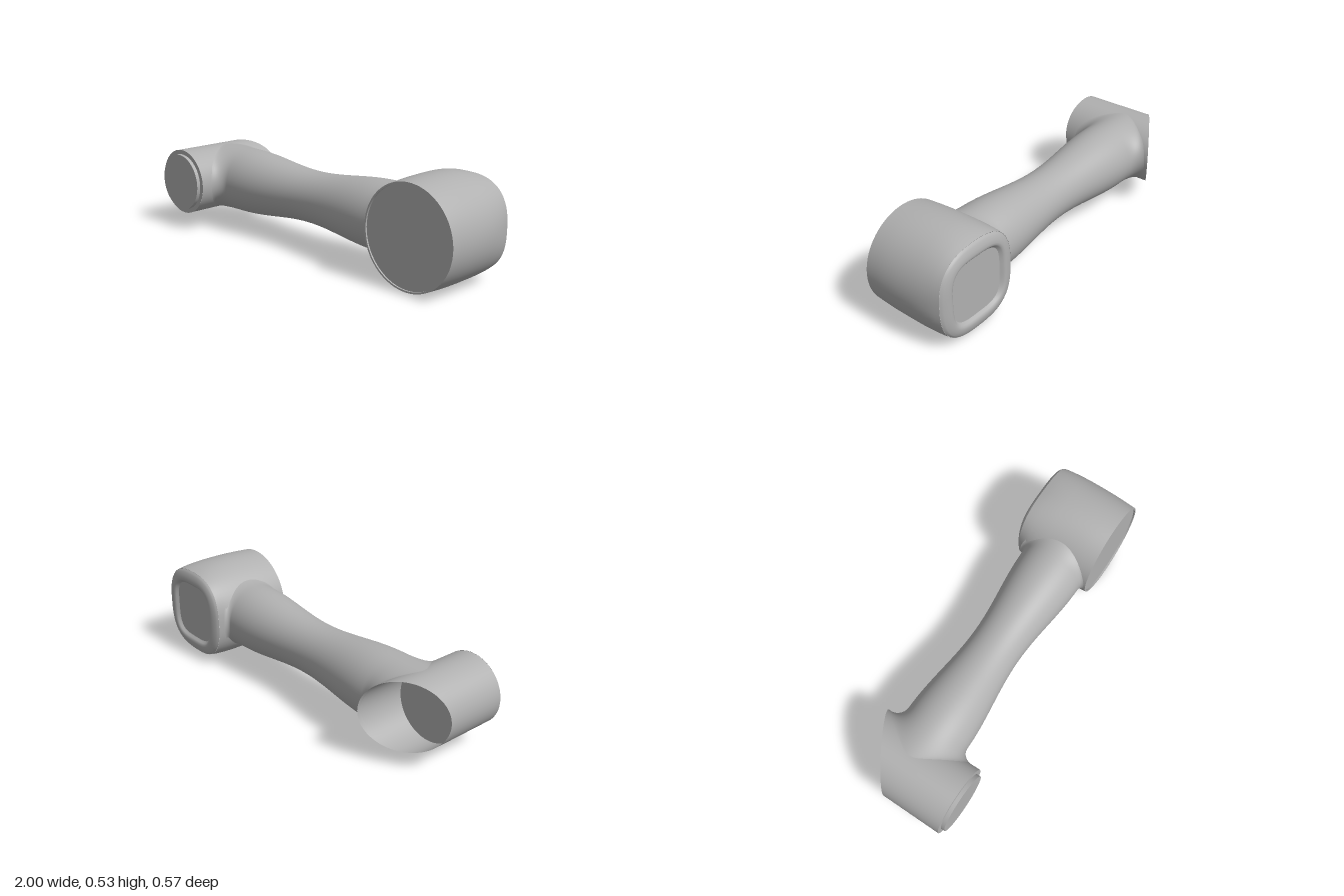
import * as THREE from 'three';

const CY = 0.268;                 // height of every axis
const SMALL = { x: -0.82, r: 0.18 };
const BIG = { x: 0.73, r: 0.257 };
const ARM_Z = -0.03;
const SEG = 72;

// Smooth skin through closed rings; row(j, angle) returns one point
function loft(rowCount, row) {
  const pos = [], idx = [];
  for (let j = 0; j < rowCount; j++) {
    for (let i = 0; i < SEG; i++) {
      pos.push(...row(j, (i / SEG) * Math.PI * 2));
      if (j === rowCount - 1) continue;
      const k = (i + 1) % SEG, a = j * SEG + i, b = j * SEG + k;
      idx.push(a, b, a + SEG, b, b + SEG, a + SEG);
    }
  }
  const g = new THREE.BufferGeometry();
  g.setAttribute('position', new THREE.Float32BufferAttribute(pos, 3));
  g.setIndex(idx);
  g.computeVertexNormals();
  return g;
}

// Rounded-square rings around the big joint; rows are [z, half size, squareness], back to front
function bigLoft(rows) {
  return loft(rows.length, (j, t) => {
    const [z, a, n] = rows[j];
    const c = Math.cos(t), s = Math.sin(t);
    const k = a / Math.pow(Math.abs(c) ** n + Math.abs(s) ** n, 1 / n);
    return [BIG.x + k * c, CY + k * s, z];
  });
}

// Arm tube whose ends flare out and land on the two joints
function armGeometry() {
  const x0 = -0.58, x1 = 0.455, rEnd = 0.178, F = 10, M = 28;
  const flareRing = (t, f, xArm, wall, flareY, flareZ) => {
    const phi = f * Math.PI / 2;              // 0 on the joint, 1 on the arm
    const c = Math.cos(t), s = Math.sin(t);
    const yEnd = (rEnd + flareY) * c;
    const xWall = wall(yEnd);
    const grow = 1 - Math.sin(phi);
    return [
      xWall + (xArm - xWall) * (1 - Math.cos(phi)),
      CY + (rEnd + flareY * grow) * c,
      ARM_Z + (rEnd + flareZ * grow) * s,
    ];
  };
  const smallWall = (y) => SMALL.x + Math.sqrt(Math.max(0, SMALL.r ** 2 - y * y)) - 0.001;
  const bigWall = (y) => BIG.x - Math.sqrt(BIG.r ** 2 - y * y) + 0.001;
  return loft(F + M + F + 1, (j, t) => {
    if (j < F) return flareRing(t, j / F, x0, smallWall, 0, 0.07);
    if (j > F + M) return flareRing(t, (2 * F + M - j) / F, x1, bigWall, 0.04, 0.025);
    const u = (j - F) / M;
    const r = 0.1575 + 0.0205 * Math.cos(u * Math.PI * 2);
    return [x0 + (x1 - x0) * u, CY + r * Math.cos(t), ARM_Z + r * Math.sin(t)];
  });
}

export function createModel() {
  const group = new THREE.Group();
  const grey = new THREE.MeshStandardMaterial({ color: 0xb0b0b0, side: THREE.DoubleSide });
  grey.name = 'plain grey';

  const add = (name, geometry, x = 0, y = 0, z = 0) => {
    const mesh = new THREE.Mesh(geometry, grey);
    mesh.name = name;
    mesh.position.set(x, y, z);
    group.add(mesh);
    return mesh;
  };

  add('arm', armGeometry());

  // Small joint: open tube, cut at a slant behind
  add('smallJointSleeve', loft(9, (j, t) => {
    const x = SMALL.x + SMALL.r * Math.cos(t);
    const back = -0.06 - 0.625 * (x + 1);
    return [x, CY + 0.178 * Math.sin(t), back + (0.265 - back) * j / 8];
  }));
  add('smallJointFloor', new THREE.CircleGeometry(0.178, SEG), SMALL.x, CY, -0.015);
  add('smallJointFrontFace', new THREE.RingGeometry(0.15, 0.179, SEG), SMALL.x, CY, 0.265);
  const boss = new THREE.CylinderGeometry(0.155, 0.155, 0.022, SEG);
  boss.rotateX(Math.PI / 2);
  add('smallJointBoss', boss, SMALL.x, CY, 0.274);

  // Big joint: round at the front, blending to a rounded square behind
  add('bigJointBody', bigLoft([
    [-0.255, 0.2375, 2.6], [-0.23, 0.245, 2.45], [-0.2, 0.252, 2.3], [-0.16, 0.2585, 2.17],
    [-0.11, 0.2635, 2.07], [-0.03, 0.266, 2], [0.05, 0.2645, 2], [0.115, 0.261, 2], [0.175, 0.2565, 2],
  ]));
  add('bigJointBackRim', bigLoft([
    [-0.258, 0.155, 3.8], [-0.262, 0.16, 3.7], [-0.27, 0.167, 3.6], [-0.275, 0.175, 3.4],
    [-0.276, 0.186, 3.2], [-0.274, 0.203, 3], [-0.267, 0.222, 2.8], [-0.261, 0.23, 2.7], [-0.255, 0.2365, 2.6],
  ]));
  add('bigJointBackPanel', bigLoft([[-0.258, 0, 3.8], [-0.258, 0.155, 3.8]]));
  add('bigJointFrontRim', new THREE.RingGeometry(0.248, 0.2565, SEG), BIG.x, CY, 0.175);
  add('bigJointFrontStep', bigLoft([[0.167, 0.248, 2], [0.175, 0.248, 2]]));
  add('bigJointFrontCap', new THREE.CircleGeometry(0.248, SEG), BIG.x, CY, 0.167);

  return group;
}
